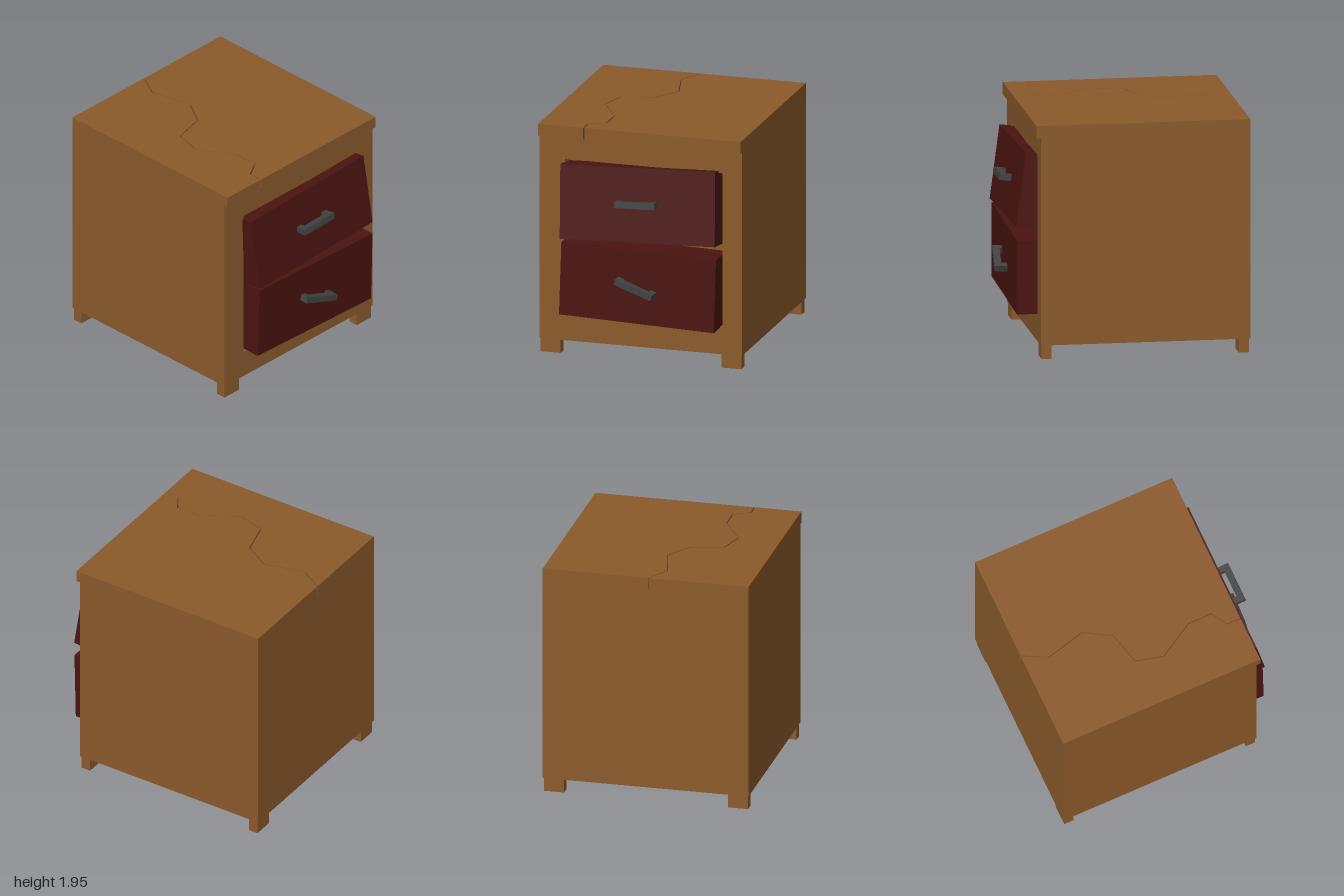
import * as THREE from 'three';

const mat = (color) => new THREE.MeshStandardMaterial({ color, flatShading: true });

export function createModel() {
  const root = new THREE.Group();
  root.name = 'nightstand';
  const wood = mat(0x8b5a2b), red = mat(0x4a1410), iron = mat(0x404242);

  const add = (parent, name, geometry, material, x = 0, y = 0, z = 0) => {
    const mesh = new THREE.Mesh(geometry, material);
    mesh.name = name;
    mesh.position.set(x, y, z);
    parent.add(mesh);
    return mesh;
  };
  const box = (w, h, d) => new THREE.BoxGeometry(w, h, d);
  const toShape = (pts) => new THREE.Shape(pts.map(([x, y]) => new THREE.Vector2(x, y)));
  const rect = (x0, y0, x1, y1) => [[x0, y0], [x1, y0], [x1, y1], [x0, y1]];
  const extrude = (shape, depth) => new THREE.ExtrudeGeometry(shape, { depth, bevelEnabled: false });
  // horizontal slab from an outline of [x, z] points, growing upward
  const slab = (pts, height) =>
    extrude(toShape(pts.map(([x, z]) => [x, -z])), height).rotateX(-Math.PI / 2);

  // Cabinet: solid core plus a front frame around the drawer recess
  add(root, 'cabinetBody', box(1.6, 1.73, 1.73), wood, -0.2, 0.98, 0);
  const frame = toShape(rect(-0.865, 0.115, 0.865, 1.845));
  frame.holes.push(new THREE.Path(rect(-0.645, 0.345, 0.7, 1.655).map(([x, y]) => new THREE.Vector2(x, y))));
  add(root, 'drawerFrame', extrude(frame, 0.13).rotateY(Math.PI / 2), wood, 0.6, 0, 0);

  // Feet
  for (const x of [-0.947, 0.68])
    for (const s of [-1, 1])
      add(root, 'foot', box(0.083, 0.12, 0.17), wood, x, 0.06, s * 0.773);

  // Top board, split in two along a jagged crack
  const crack = [
    [-1, 0.025], [-0.8, 0.135], [-0.68, 0.105], [-0.46, 0.05], [-0.24, 0.18], [-0.17, 0.455],
    [0.06, 0.515], [0.36, 0.34], [0.565, 0.34], [0.645, 0.475], [0.765, 0.475],
  ];
  const side = (s) => crack.map(([x, z], i) =>
    [i === 0 || i === crack.length - 1 ? x : x + s * 0.003, z - s * 0.005]);
  add(root, 'topBoardBack', slab([[0.765, -0.865], [-1, -0.865], ...side(1)], 0.1), wood, 0, 1.845, 0);
  add(root, 'topBoardFront', slab([[0.765, 0.865], [-1, 0.865], ...side(-1)], 0.1), wood, 0, 1.845, 0);
  add(root, 'crackShadow', slab([...side(1).slice(2), ...side(-1).slice(2).reverse()], 0.006), iron, 0, 1.845, 0);

  // Drawers: group origin sits at the centre of the front face
  const handleOutline = [
    [-0.01, -0.17], [0.095, -0.17], [0.095, 0.17], [-0.01, 0.17],
    [-0.01, 0.118], [0.038, 0.118], [0.038, -0.118], [-0.01, -0.118],
  ];
  const drawer = (name, pos, roll, tilt, handlePos, handleRoll, handleYaw) => {
    const g = new THREE.Group();
    g.name = name;
    g.position.set(...pos);
    g.rotation.set(roll, 0, tilt, 'ZYX');
    add(g, 'drawerBox', box(0.3, 0.617, 1.323), red, -0.15, 0, 0);
    const handle = add(g, 'handle', slab(handleOutline, 0.052).translate(0, -0.026, 0), iron, ...handlePos);
    handle.rotation.set(handleRoll, handleYaw, 0);
    root.add(g);
  };
  drawer('upperDrawer', [0.865, 1.357, -0.015], 0.034, 0.137, [0, 0.01, 0], 0, 0);
  drawer('lowerDrawer', [0.895, 0.669, -0.025], -0.032, 0, [-0.005, 0, 0.005], -0.28, -0.09);
  return root;
}
